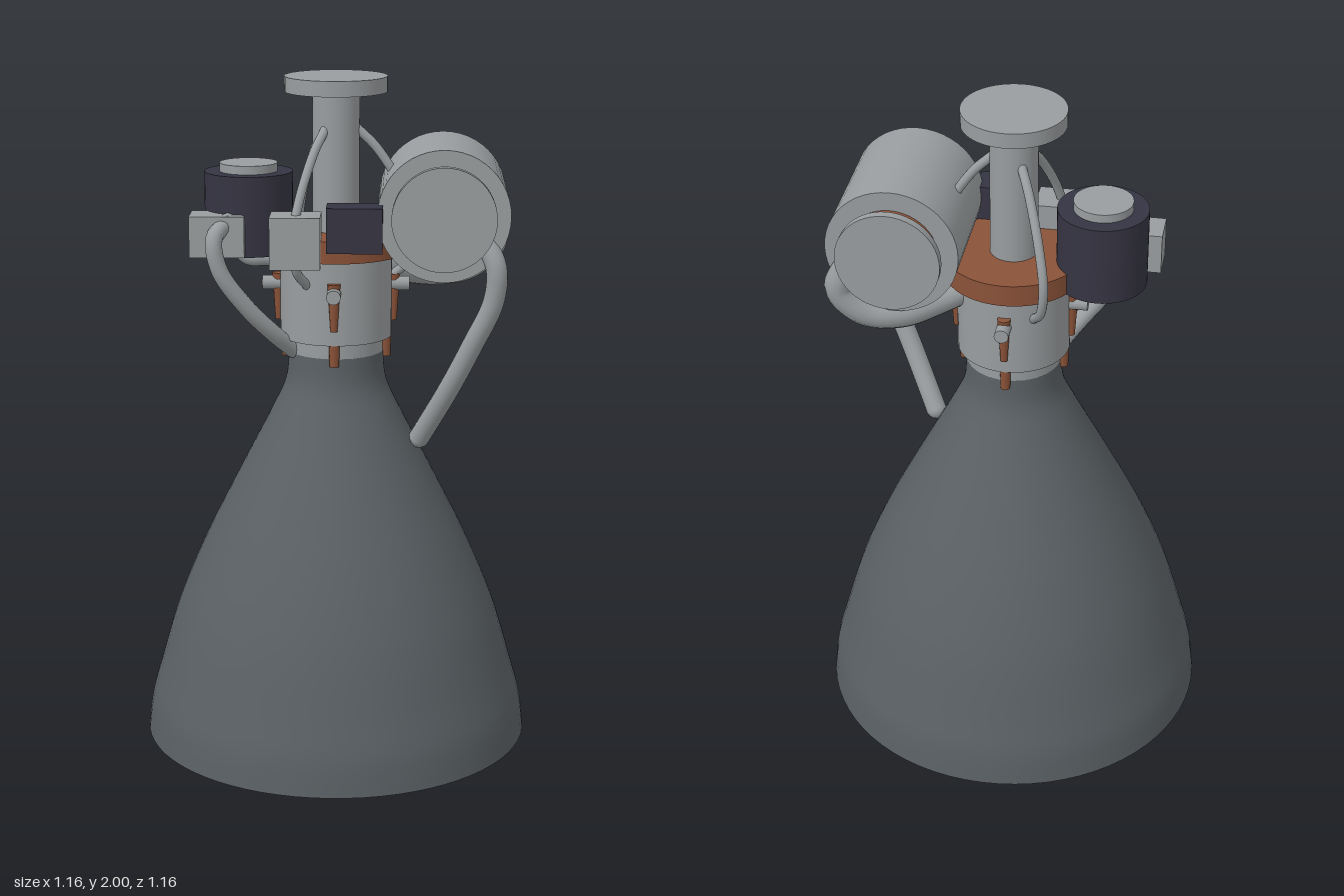
import * as THREE from 'three';

const mat = (name, color, side = THREE.FrontSide) => {
  const m = new THREE.MeshStandardMaterial({ color, side });
  m.name = name;
  return m;
};

export function createModel() {
  const root = new THREE.Group();
  root.name = 'rocketEngine';
  const bellGrey = mat('bellGrey', 0x5a6064, THREE.DoubleSide);
  const metal = mat('lightMetal', 0x999d9f);
  const dark = mat('darkHousing', 0x353442);
  const copper = mat('copper', 0x8a5238);

  const add = (name, geometry, material, x = 0, y = 0, z = 0, parent = root) => {
    const mesh = new THREE.Mesh(geometry, material);
    mesh.name = name;
    mesh.position.set(x, y, z);
    parent.add(mesh);
    return mesh;
  };
  // Upright cylinder between two heights
  const upright = (name, r, y0, y1, material, x = 0, z = 0, rBottom = r) =>
    add(name, new THREE.CylinderGeometry(r, rBottom, y1 - y0, 48), material, x, (y0 + y1) / 2, z);
  // Cylinder along z between two depths
  const lying = (name, r, z0, z1, material, x, y) => {
    const g = new THREE.CylinderGeometry(r, r, z1 - z0, 48).rotateX(Math.PI / 2);
    return add(name, g, material, x, y, (z0 + z1) / 2);
  };
  // Box from its minimum and maximum corners
  const box = (name, a, b, material) =>
    add(name, new THREE.BoxGeometry(b[0] - a[0], b[1] - a[1], b[2] - a[2]), material,
      (a[0] + b[0]) / 2, (a[1] + b[1]) / 2, (a[2] + b[2]) / 2);
  // Smooth pipe through points, with rounded ends
  const pipe = (name, points, r, material, parent = root) => {
    const group = new THREE.Group();
    group.name = name;
    parent.add(group);
    const pts = points.map((p) => new THREE.Vector3(...p));
    const curve = new THREE.CatmullRomCurve3(pts);
    add(name + 'Tube', new THREE.TubeGeometry(curve, 40, r, 14), material, 0, 0, 0, group);
    for (const p of [pts[0], pts[pts.length - 1]])
      add(name + 'End', new THREE.SphereGeometry(r, 14, 10), material, p.x, p.y, p.z, group);
  };

  // Nozzle bell, open at the bottom
  const outline = new THREE.SplineCurve([
    [0.58, 0], [0.567, 0.1], [0.54, 0.2], [0.48, 0.4], [0.397, 0.6], [0.298, 0.8],
    [0.195, 1.0], [0.15, 1.1], [0.14, 1.19],
  ].map((p) => new THREE.Vector2(...p)));
  add('nozzleBell', new THREE.LatheGeometry(outline.getPoints(48), 72), bellGrey);

  // Combustion chamber, injector plate and gimbal column
  upright('throatCollar', 0.14, 1.185, 1.24, metal);
  upright('combustionChamber', 0.165, 1.235, 1.49, metal);
  upright('injectorPlate', 0.203, 1.485, 1.55, copper);
  upright('gimbalColumn', 0.069, 1.54, 1.96, metal);
  upright('mountingFlange', 0.15, 1.955, 2.0, metal);

  // Bolts and copper strips at four sides of the chamber
  for (let i = 0; i < 4; i++) {
    const side = new THREE.Group();
    side.name = 'chamberFitting';
    side.rotation.y = (i * Math.PI) / 2;
    root.add(side);
    add('bolt', new THREE.CylinderGeometry(0.021, 0.021, 0.075, 16).rotateX(Math.PI / 2),
      metal, 0, 1.39, 0.18, side);
    add('upperStrip', new THREE.CylinderGeometry(0.019, 0.01, 0.14, 12), copper, 0, 1.35, 0.17, side);
    add('lowerStrip', new THREE.CylinderGeometry(0.016, 0.014, 0.07, 12), copper, 0, 1.205, 0.148, side);
  }

  // Three thin feed lines spaced round the column
  for (let i = 0; i < 3; i++) {
    const feed = new THREE.Group();
    feed.name = 'feedLine';
    feed.rotation.y = (i * Math.PI * 2) / 3;
    root.add(feed);
    pipe('feedPipe', [[0.06, 1.85, 0], [0.12, 1.79, 0], [0.2, 1.66, 0], [0.235, 1.55, 0],
      [0.215, 1.46, 0], [0.16, 1.41, 0]], 0.0135, metal, feed);
  }

  // Main turbopump lying front to back
  const px = 0.315, py = 1.622;
  lying('pumpBody', 0.191, -0.195, 0.192, metal, px, py);
  lying('pumpFrontBand', 0.135, 0.19, 0.225, dark, px, py);
  lying('pumpFrontCap', 0.15, 0.222, 0.25, metal, px, py);
  lying('pumpBackBand', 0.135, -0.23, -0.19, copper, px, py);
  lying('pumpBackCap', 0.15, -0.254, -0.228, metal, px, py);

  // Pump pipes: exhaust down to the bell, discharge into the chamber
  pipe('exhaustPipe', [[0.42, 1.57, 0.16], [0.465, 1.48, 0.195], [0.46, 1.38, 0.19],
    [0.4, 1.24, 0.165], [0.335, 1.1, 0.125], [0.25, 0.93, 0.05]], 0.031, metal);
  pipe('dischargePipe', [[0.43, 1.58, -0.19], [0.468, 1.49, -0.19], [0.4, 1.415, -0.18],
    [0.3, 1.4, -0.15], [0.2, 1.42, -0.09], [0.12, 1.45, -0.05]], 0.045, metal);

  // Second pump standing beside the column
  upright('smallPump', 0.13, 1.485, 1.72, dark, -0.257, -0.015);
  upright('smallPumpCap', 0.085, 1.715, 1.745, metal, -0.257, -0.015);
  pipe('smallPumpOutlet', [[-0.29, 1.5, -0.01], [-0.26, 1.465, -0.01], [-0.2, 1.465, 0],
    [-0.14, 1.46, 0]], 0.025, metal);
  pipe('coolantPipe', [[-0.31, 1.59, 0.11], [-0.345, 1.55, 0.165], [-0.33, 1.46, 0.175],
    [-0.25, 1.34, 0.15], [-0.18, 1.26, 0.11], [-0.125, 1.2, 0.06]], 0.025, metal);

  // Control boxes
  box('valveBox', [-0.42, 1.49, 0.04], [-0.26, 1.61, 0.145], metal);
  box('controllerBox', [-0.182, 1.475, 0.13], [-0.037, 1.625, 0.243], metal);
  box('electronicsBox', [-0.02, 1.525, 0.155], [0.14, 1.655, 0.252], dark);

  return root;
}
